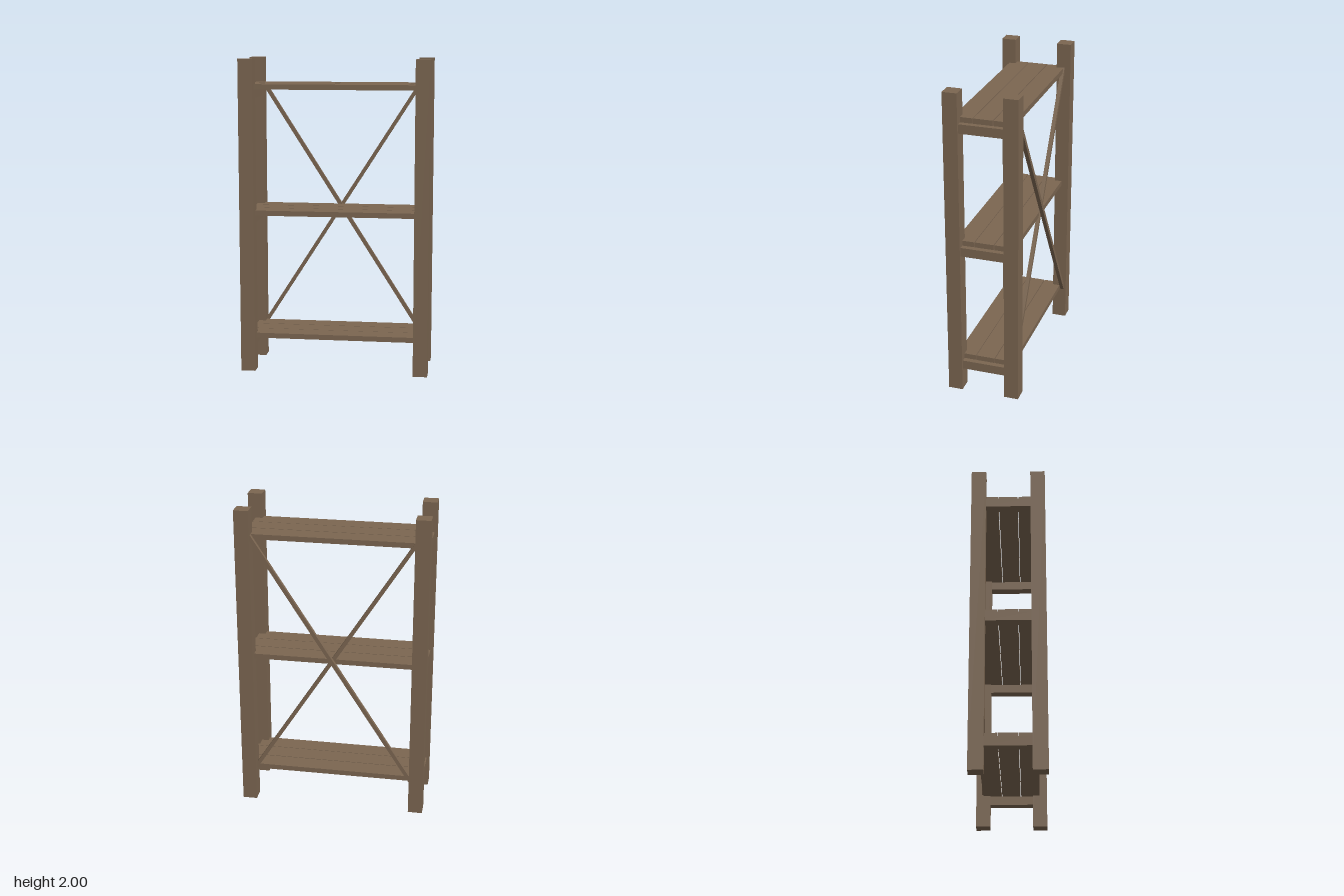
import * as THREE from 'three';

export function createModel() {
  const root = new THREE.Group();
  root.name = 'shelvingUnit';
  const wood = new THREE.MeshStandardMaterial({ color: 0x7b6651 });
  wood.name = 'brown wood';

  const addBox = (parent, name, size, pos) => {
    const mesh = new THREE.Mesh(new THREE.BoxGeometry(...size), wood);
    mesh.name = name;
    mesh.position.set(...pos);
    parent.add(mesh);
    return mesh;
  };

  // Four corner posts
  for (const [sx, xName] of [[1, 'Left'], [-1, 'Right']]) {
    for (const [sz, zName] of [[1, 'front'], [-1, 'back']]) {
      addBox(root, `${zName}${xName}Post`, [0.092, 2, 0.092], [sx * 0.554, 1, sz * 0.186]);
    }
  }

  // Three shelves: three planks resting on two side rails
  ['lower', 'middle', 'upper'].forEach((level, i) => {
    const shelf = new THREE.Group();
    shelf.name = `${level}Shelf`;
    shelf.position.y = 0.208 + i * 0.8;
    root.add(shelf);
    for (const z of [-0.126, -0.001, 0.123]) {
      addBox(shelf, 'plank', [1.106, 0.033, 0.12], [0, 0.0165, z]);
    }
    for (const [sx, side] of [[1, 'left'], [-1, 'right']]) {
      addBox(shelf, `${side}Rail`, [0.068, 0.058, 0.29], [sx * 0.553, -0.029, 0]);
    }
  });

  // Crossed braces at the back, one behind the other
  const angle = Math.atan2(0.8, 0.51);
  const length = 2 * Math.hypot(0.8, 0.51) + 0.02;
  for (const [dir, z, name] of [[1, -0.206, 'outerBrace'], [-1, -0.182, 'innerBrace']]) {
    const brace = addBox(root, name, [length, 0.024, 0.024], [0, 1.03, z]);
    brace.rotation.z = dir * angle;
  }
  return root;
}
